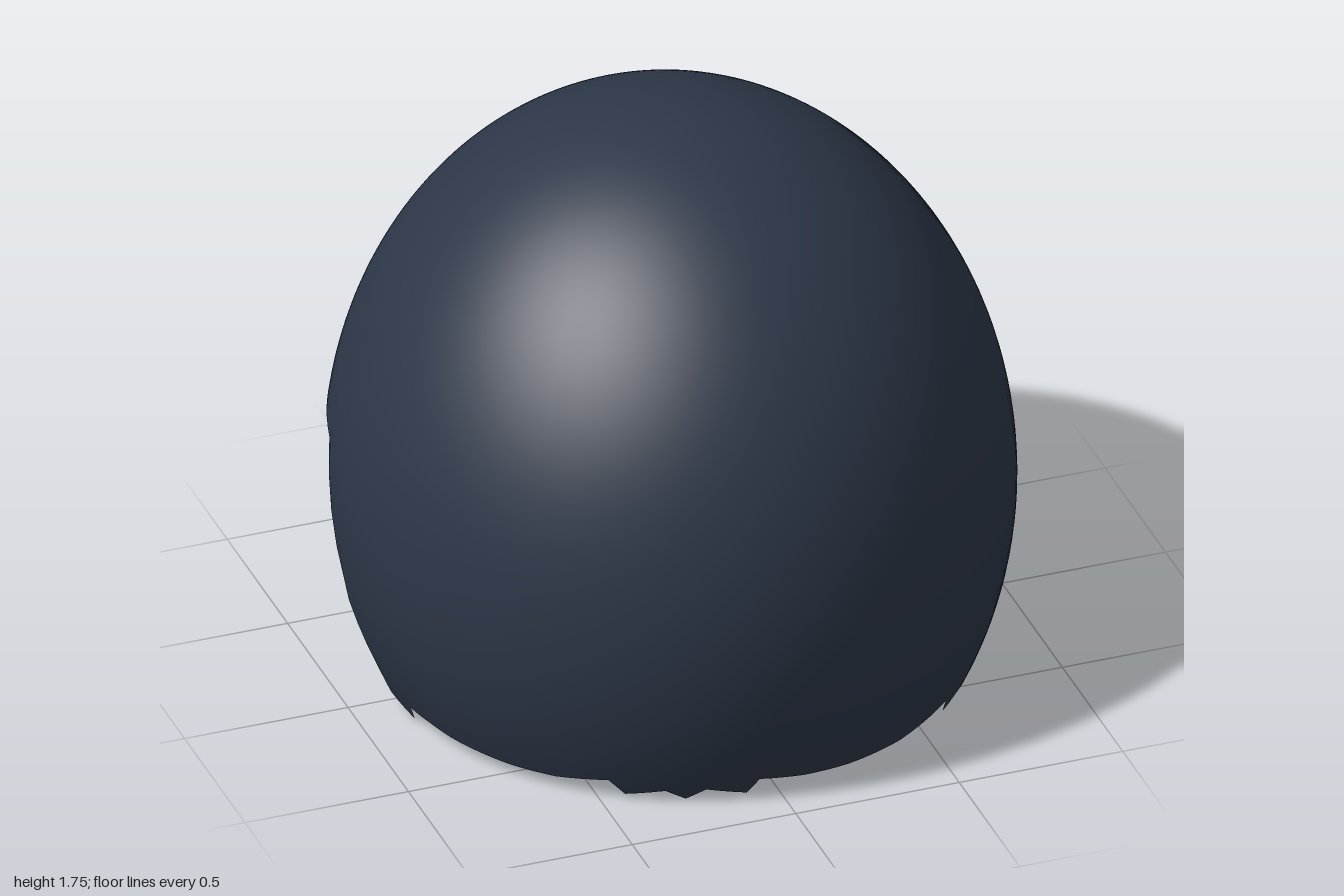
import * as THREE from 'three';

// Ellipsoid that the shell is cut from
const RADIUS = { x: 0.99, y: 1.17, z: 1.04 };
const CENTRE = { y: 0.58, z: -0.04 };
const ROWS = 48;

// Ragged front hem, as [x, y] from the right side to the left
const FRONT_HEM = [
  [-0.7, 0.04], [-0.6, 0.045], [-0.48, 0.07], [-0.43, 0.015], [-0.33, 0.04], [-0.27, 0.005],
  [-0.22, 0.045], [-0.1, 0.015], [-0.07, 0.07], [0.07, 0.05], [0.22, 0.04], [0.4, 0.04],
  [0.58, 0.07], [0.585, 0.015], [0.66, 0.04], [0.7, 0], [0.75, 0.045], [0.79, 0.01],
];

// Side and back hems, as [z, y] from front to back
const LEFT_HEM = [
  [0.33, 0.05], [0.25, 0.06], [0.17, 0.05], [0.08, 0.03], [-0.1, 0.385], [-0.28, 0.74],
  [-0.36, 0.75], [-0.5, 0.74], [-0.57, 0.75], [-0.6, 0.82], [-0.73, 0.81], [-0.75, 0.88],
  [-0.88, 0.9], [-0.885, 0.96], [-0.94, 0.95], [-0.95, 0.99], [-0.985, 1.01],
];
const RIGHT_HEM = [
  [0.33, 0.045], [0.25, 0.055], [0.16, 0.06], [0.14, 0.01], [0.02, 0.04], [0, 0.12],
  [-0.11, 0.29], [-0.112, 0.35], [-0.28, 0.74], [-0.42, 0.75], [-0.53, 0.74], [-0.57, 0.81],
  [-0.71, 0.83], [-0.74, 0.89], [-0.88, 0.91], [-0.9, 0.96], [-0.978, 0.99], [-0.975, 1.02],
];

const clamp = (v) => Math.max(-1, Math.min(1, v));
const ringRadius = (y) => Math.sqrt(1 - ((y - CENTRE.y) / RADIUS.y) ** 2);

// Turns hem points into { angle round the y axis, height }
const fromX = ([x, y]) => ({ angle: Math.asin(clamp(x / RADIUS.x / ringRadius(y))), y });
const fromZ = (side) => ([z, y]) => ({
  angle: side * Math.acos(clamp((z - CENTRE.z) / RADIUS.z / ringRadius(y))), y,
});

function hemColumns() {
  const points = [
    { angle: -Math.PI, y: 1.03 },
    ...RIGHT_HEM.map(fromZ(-1)).reverse(),
    ...FRONT_HEM.map(fromX),
    ...LEFT_HEM.map(fromZ(1)),
    { angle: Math.PI, y: 1.03 },
  ];
  // Subdivide long stretches so the shell stays round
  const columns = [points[0]];
  for (let i = 1; i < points.length; i++) {
    const a = points[i - 1], b = points[i];
    const steps = Math.max(1, Math.ceil(Math.abs(b.angle - a.angle) / 0.05));
    for (let s = 1; s <= steps; s++) {
      columns.push({
        angle: THREE.MathUtils.lerp(a.angle, b.angle, s / steps),
        y: THREE.MathUtils.lerp(a.y, b.y, s / steps),
      });
    }
  }
  return columns;
}

// Columns run from the crown down to the hem, with smooth ellipsoid normals
function shellGeometry() {
  const columns = hemColumns();
  const position = [], normal = [], index = [];
  for (const { angle, y } of columns) {
    const end = Math.acos(clamp((y - CENTRE.y) / RADIUS.y));
    for (let r = 0; r <= ROWS; r++) {
      const polar = (end * r) / ROWS;
      const ux = Math.sin(polar) * Math.sin(angle);
      const uy = Math.cos(polar);
      const uz = Math.sin(polar) * Math.cos(angle);
      position.push(ux * RADIUS.x, CENTRE.y + uy * RADIUS.y, CENTRE.z + uz * RADIUS.z);
      const n = new THREE.Vector3(ux / RADIUS.x, uy / RADIUS.y, uz / RADIUS.z).normalize();
      normal.push(n.x, n.y, n.z);
    }
  }
  for (let c = 0; c < columns.length - 1; c++) {
    for (let r = 0; r < ROWS; r++) {
      const a = c * (ROWS + 1) + r, b = a + ROWS + 1;
      if (r > 0) index.push(a, a + 1, b);
      index.push(b, a + 1, b + 1);
    }
  }
  const geometry = new THREE.BufferGeometry();
  geometry.setAttribute('position', new THREE.Float32BufferAttribute(position, 3));
  geometry.setAttribute('normal', new THREE.Float32BufferAttribute(normal, 3));
  geometry.setIndex(index);
  return geometry;
}

export function createModel() {
  const model = new THREE.Group();
  model.name = 'brokenShell';
  const slate = new THREE.MeshStandardMaterial({ color: 0x2d3748, side: THREE.DoubleSide });
  slate.name = 'dark slate';
  const shell = new THREE.Mesh(shellGeometry(), slate);
  shell.name = 'shell';
  model.add(shell);
  return model;
}
